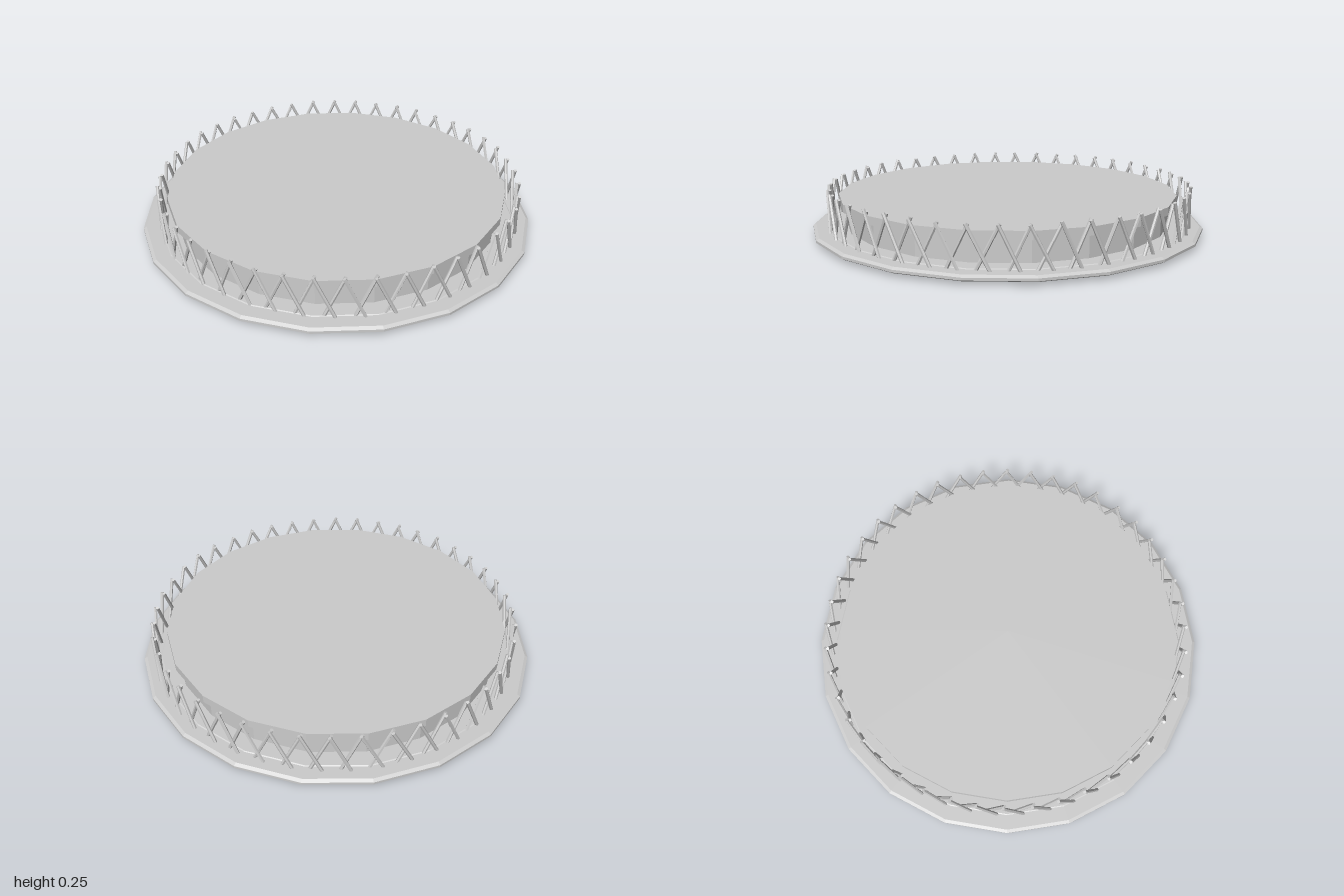
import * as THREE from 'three';

const SIDES = 20;      // low-poly round parts
const PEAKS = 44;      // points of the lattice fence
const material = new THREE.MeshStandardMaterial({ color: 0xcccccc, flatShading: true });

// Small repeatable wobble in the range -1..1
const wobble = (n) => {
  const s = Math.sin(n * 12.9898 + 4.1) * 43758.5453;
  return 2 * (s - Math.floor(s)) - 1;
};

function addLathe(group, name, points) {
  const profile = points.map(([r, y]) => new THREE.Vector2(r, y));
  const mesh = new THREE.Mesh(new THREE.LatheGeometry(profile, SIDES), material);
  mesh.name = name;
  group.add(mesh);
}

// Straight thin rod between two points
function makeRod(a, b, radius) {
  const dir = b.clone().sub(a);
  const mesh = new THREE.Mesh(new THREE.CylinderGeometry(radius, radius, dir.length(), 6), material);
  mesh.position.copy(a).add(b).multiplyScalar(0.5);
  mesh.quaternion.setFromUnitVectors(new THREE.Vector3(0, 1, 0), dir.normalize());
  return mesh;
}

export function createModel() {
  const group = new THREE.Group();
  group.name = 'latticeTray';

  // Base plate with a softened rim and a very shallow inner step
  addLathe(group, 'basePlate', [
    [0, 0.02], [0.99, 0.02], [1, 0.026], [1, 0.038], [0.985, 0.047],
    [0.915, 0.047], [0.91, 0.05], [0, 0.05],
  ]);

  // Drum wall, set back beneath the top slab
  addLathe(group, 'drum', [[0.83, 0.045], [0.83, 0.165]]);

  // Top slab overhanging the drum
  addLathe(group, 'topSlab', [[0, 0.16], [0.865, 0.16], [0.865, 0.2], [0, 0.2]]);

  // Fence of crossing rods: two lean down from every peak
  const fence = new THREE.Group();
  fence.name = 'latticeFence';
  fence.position.set(0.01, 0, -0.01);
  const step = (Math.PI * 2) / PEAKS;
  const onRing = (angle, r, y) => new THREE.Vector3(Math.sin(angle) * r, y, Math.cos(angle) * r);
  for (let i = 0; i < PEAKS; i++) {
    const peak = i * step + 0.006 * wobble(i);
    for (const side of [-1, 1]) {
      const n = i * 2 + side + 200;
      const r = 0.915 + side * 0.006;
      const top = onRing(peak - side * 0.004, r, 0.247 + 0.006 * wobble(n));
      const foot = onRing(peak + side * step * 0.8, r, 0.02 + 0.013 * wobble(n + 300));
      const rod = makeRod(top, foot, 0.0085);
      rod.name = side < 0 ? 'rodLeaningRight' : 'rodLeaningLeft';
      fence.add(rod);
    }
  }
  group.add(fence);
  return group;
}
